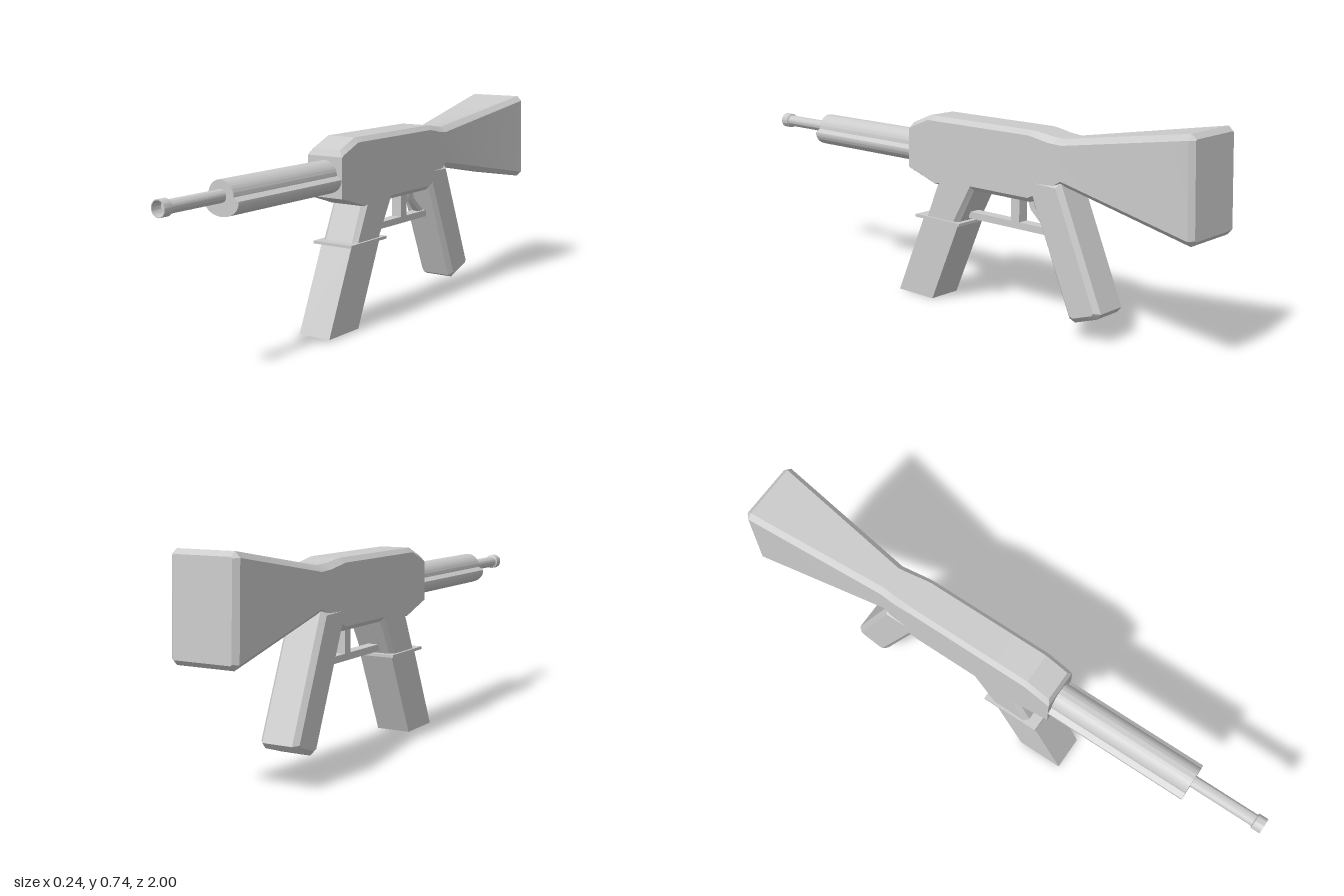
import * as THREE from 'three';
import { toCreasedNormals } from 'three/addons/utils/BufferGeometryUtils.js';

const material = new THREE.MeshStandardMaterial({ color: 0xcccccc });

function part(group, name, geometry, crease = 0.5) {
  const mesh = new THREE.Mesh(toCreasedNormals(geometry, crease), material);
  mesh.name = name;
  group.add(mesh);
  return mesh;
}

// Side outline of [z, y] points, extruded across x and chamfered inside its outline
function sideExtrude(points, halfWidth, chamfer = 0) {
  const shape = new THREE.Shape(points.map(([z, y]) => new THREE.Vector2(z, y)));
  const depth = 2 * (halfWidth - chamfer);
  const geometry = new THREE.ExtrudeGeometry(shape, {
    depth, bevelEnabled: chamfer > 0, bevelSegments: 1,
    bevelSize: chamfer, bevelThickness: chamfer, bevelOffset: -chamfer,
  });
  return geometry.translate(0, 0, -depth / 2).rotateY(-Math.PI / 2);
}

// Chamfered rectangles joined from front to back.
// Row: z, bottom, top, half width, top chamfer, bottom chamfer, lean of z per y
function loft(rows) {
  const positions = [];
  const index = [];
  for (const [z, b, t, w, ct, cb, lean = 0] of rows) {
    const ring = [
      [w - cb, b], [w, b + cb], [w, t - ct], [w - ct, t],
      [ct - w, t], [-w, t - ct], [-w, b + cb], [cb - w, b],
    ];
    for (const [x, y] of ring) positions.push(x, y, z + lean * (y - b));
  }
  for (let i = 0; i < rows.length - 1; i++) {
    for (let j = 0; j < 8; j++) {
      const a = i * 8 + j, c = i * 8 + (j + 1) % 8;
      index.push(a, a + 8, c, c, a + 8, c + 8);
    }
  }
  const last = (rows.length - 1) * 8;
  for (let j = 1; j < 7; j++) {
    index.push(0, j, j + 1, last, last + j + 1, last + j);
  }
  const geometry = new THREE.BufferGeometry();
  geometry.setAttribute('position', new THREE.Float32BufferAttribute(positions, 3));
  geometry.setIndex(index);
  return geometry;
}

export function createModel() {
  const group = new THREE.Group();
  group.name = 'rifle';

  // Receiver running back into the flared stock
  part(group, 'receiverAndStock', loft([
    [0.215, 0.470, 0.610, 0.071, 0.002, 0.002],
    [0.205, 0.467, 0.632, 0.071, 0.016, 0.002],
    [0.120, 0.440, 0.667, 0.071, 0.016, 0.002],
    [0.085, 0.428, 0.667, 0.071, 0.016, 0.002],
    [0.000, 0.428, 0.667, 0.071, 0.016, 0.016],
    [-0.340, 0.428, 0.667, 0.071, 0.016, 0.016],
    [-0.365, 0.440, 0.665, 0.071, 0.018, 0.016],
    [-0.420, 0.470, 0.656, 0.068, 0.020, 0.016],
    [-0.470, 0.500, 0.652, 0.063, 0.020, 0.016],
    [-0.985, 0.405, 0.735, 0.118, 0.018, 0.018, 0.04],
    [-1.000, 0.421, 0.720, 0.102, 0.004, 0.004, 0.04],
  ]), 0.35);

  // Pistol grip
  part(group, 'grip', sideExtrude([
    [-0.325, 0.51], [-0.467, 0.51], [-0.638, 0.108], [-0.622, 0.088],
    [-0.535, 0.058], [-0.512, 0.068],
  ], 0.071, 0.016));

  // Magazine well, collar and magazine
  part(group, 'magazineWell', sideExtrude([
    [0.145, 0.285], [0.070, 0.46], [-0.105, 0.46], [-0.010, 0.285],
  ], 0.071, 0.016));
  part(group, 'magazineCollar', new THREE.BoxGeometry(0.16, 0.01, 0.215)
    .translate(0, 0.301, 0.0675));
  part(group, 'magazine', sideExtrude([
    [0.28, 0], [0.146, 0.305], [-0.024, 0.305], [0.11, 0],
  ], 0.063));

  // Trigger guard and trigger
  part(group, 'triggerGuard', new THREE.BoxGeometry(0.04, 0.024, 0.37)
    .translate(0, 0.327, -0.215));
  part(group, 'guardPost', new THREE.BoxGeometry(0.04, 0.11, 0.037)
    .translate(0, 0.385, -0.244));
  part(group, 'trigger', sideExtrude([
    [-0.285, 0.44], [-0.305, 0.39], [-0.365, 0.335], [-0.395, 0.335],
    [-0.325, 0.395], [-0.31, 0.44],
  ], 0.012));

  // Handguard: round top over a wider, shallow lower half
  const section = new THREE.Shape();
  section.absarc(0, 0.547, 0.05, 0, Math.PI, false);
  section.lineTo(-0.068, 0.535);
  section.bezierCurveTo(-0.072, 0.508, -0.042, 0.483, 0, 0.483);
  section.bezierCurveTo(0.042, 0.483, 0.072, 0.508, 0.068, 0.535);
  section.closePath();
  part(group, 'handguard', new THREE.ExtrudeGeometry(section, {
    depth: 0.545, bevelEnabled: false, curveSegments: 20,
  }).translate(0, 0, 0.19));

  // Barrel with a raised, hollow muzzle ring
  const profile = [
    [0.021, 0.7], [0.021, 0.965], [0.027, 0.968], [0.027, 1], [0.024, 1],
    [0.022, 0.965], [0, 0.965],
  ].map(([r, z]) => new THREE.Vector2(r, z));
  part(group, 'barrel', new THREE.LatheGeometry(profile, 28)
    .rotateX(Math.PI / 2).translate(0, 0.547, 0));

  return group;
}
